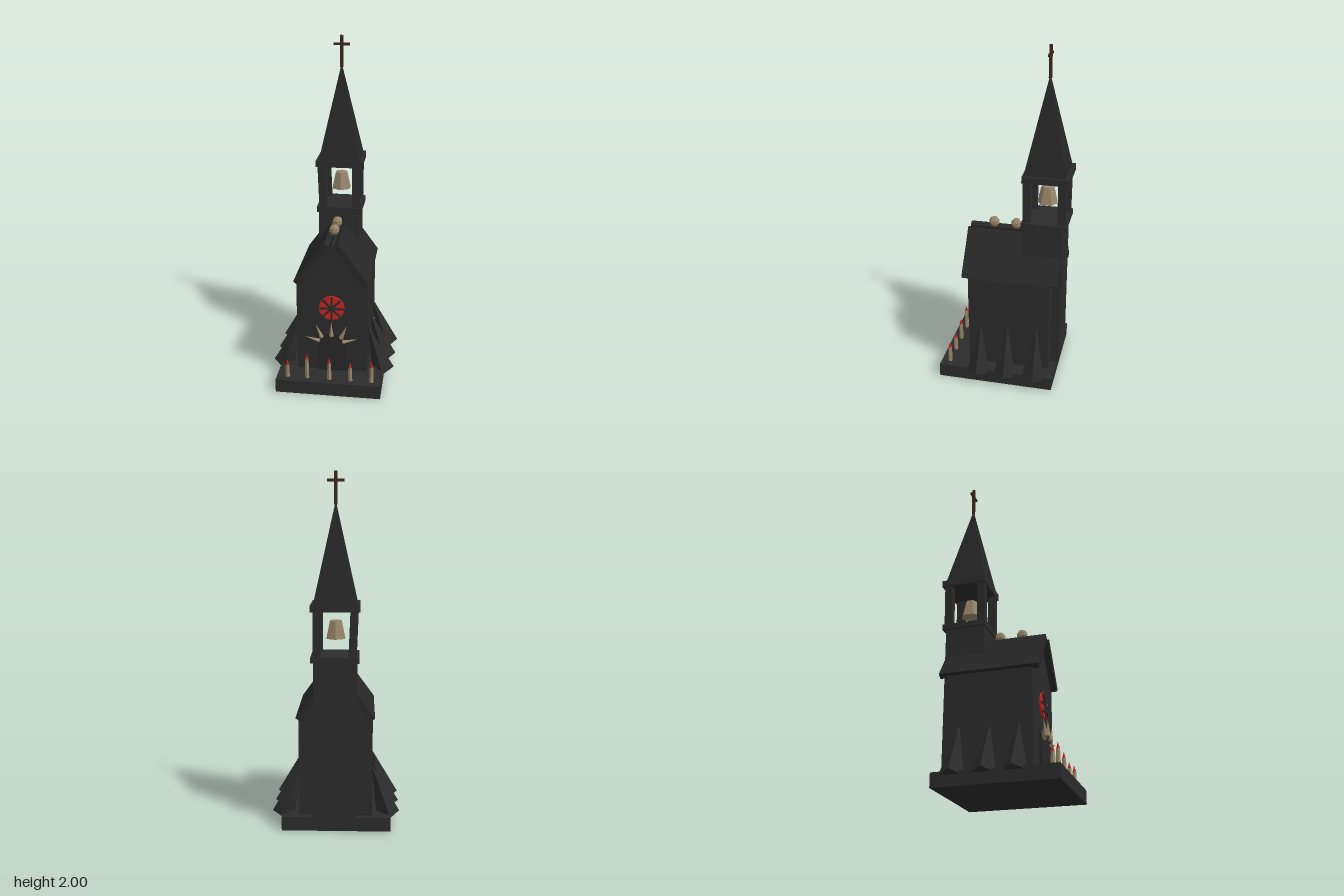
import * as THREE from 'three';

const flat = (name, color) => {
  const m = new THREE.MeshStandardMaterial({ color, flatShading: true });
  m.name = name;
  return m;
};

export function createModel() {
  const stone = flat('dark stone', 0x2b2b2b);
  const slate = flat('roof slate', 0x272727);
  const wood = flat('dark wood', 0x3d291b);
  const bone = flat('bone', 0x978569);
  const red = flat('red glass and flame', 0xcc2222);

  const model = new THREE.Group();
  model.name = 'chapel';
  const add = (name, geo, mat, x = 0, y = 0, z = 0, parent = model) => {
    const m = new THREE.Mesh(geo, mat);
    m.name = name;
    m.position.set(x, y, z);
    parent.add(m);
    return m;
  };
  // Box given by its limits
  const box = (name, mat, x0, x1, y0, y1, z0, z1) => add(name,
    new THREE.BoxGeometry(x1 - x0, y1 - y0, z1 - z0), mat,
    (x0 + x1) / 2, (y0 + y1) / 2, (z0 + z1) / 2);
  // Outline in x and y, extruded from z0 to z1
  const prism = (name, mat, pts, z0, z1) => add(name,
    new THREE.ExtrudeGeometry(new THREE.Shape(pts.map(p => new THREE.Vector2(...p))),
      { depth: z1 - z0, bevelEnabled: false }), mat, 0, 0, z0);

  // Plinth and nave with gable
  box('plinth', stone, -0.312, 0.304, 0, 0.08, -0.32, 0.367);
  prism('nave', stone,
    [[-0.208, 0.08], [0.208, 0.08], [0.208, 0.645], [0.19, 0.65], [0, 0.88], [-0.19, 0.65], [-0.208, 0.645]],
    -0.282, 0.204);

  // Roof slabs, leaving a narrow slot along the ridge
  for (const s of [-1, 1]) {
    const pts = [[0.04, 0.905], [0.012, 0.885], [0.192, 0.638], [0.22, 0.658]].map(([x, y]) => [s * x, y]);
    prism(s > 0 ? 'leftRoofSlab' : 'rightRoofSlab', slate, pts, -0.33, 0.24);
  }

  // Leaning pyramid buttresses
  const buttresses = [[0.128, 0.305], [-0.035, 0.305], [-0.208, 0.325]];
  for (const s of [-1, 1]) {
    buttresses.forEach(([z, h], i) => {
      const tilt = 0.32;
      const b = add('buttress', new THREE.ConeGeometry(0.067, h, 4), stone,
        s * (0.302 - Math.sin(tilt) * h / 2), 0.06 + Math.cos(tilt) * h / 2, z);
      b.rotation.z = s * tilt;
      b.rotateY((i - 1) * 0.06 + 0.08);
    });
  }

  // Bell tower
  const tz = -0.225;
  box('towerShaft', stone, -0.12, 0.12, 0.08, 0.975, tz - 0.11, tz + 0.122);
  box('belfryFloor', stone, -0.132, 0.135, 0.97, 1.003, tz - 0.13, tz + 0.13);
  for (const x of [-1, 1]) for (const z of [-1, 1]) {
    const post = add('belfryPost', new THREE.BoxGeometry(0.045, 0.26, 0.045), stone, x * 0.1, 1.13, tz + z * 0.1);
    post.rotation.z = x > 0 ? 0 : 0.04;
  }
  box('belfryCap', stone, -0.137, 0.135, 1.25, 1.288, tz - 0.138, tz + 0.128);
  const spire = add('spire', new THREE.ConeGeometry(0.122 * Math.SQRT2, 0.565, 4), slate, 0, 1.56, tz);
  spire.rotation.y = Math.PI / 4;
  add('bell', new THREE.CylinderGeometry(0.037, 0.06, 0.1, 6), bone, 0, 1.14, tz);

  // Cross on the spire
  box('crossUpright', wood, -0.009, 0.009, 1.82, 2, tz - 0.008, tz + 0.008);
  box('crossBar', wood, -0.047, 0.047, 1.943, 1.957, tz - 0.007, tz + 0.007);

  // Ridge knobs
  for (const z of [0.09, -0.043]) {
    add('ridgeKnob', new THREE.SphereGeometry(0.032, 6, 5), bone, 0, 0.934, z).rotation.y = Math.PI / 6;
  }

  // Rose window with four crossing bars
  const rose = new THREE.Group();
  rose.name = 'roseWindow';
  rose.position.set(0, 0.49, 0.204);
  model.add(rose);
  add('roseGlass', new THREE.CylinderGeometry(0.075, 0.075, 0.024, 16), red, 0, 0, 0, rose).rotation.x = Math.PI / 2;
  for (let i = 0; i < 4; i++) {
    add('roseBar', new THREE.BoxGeometry(0.148, 0.011, 0.02), stone, 0, 0, 0.01, rose).rotation.z = i * Math.PI / 4;
  }
  add('roseHub', new THREE.CylinderGeometry(0.016, 0.016, 0.022, 8), stone, 0, 0, 0.01, rose).rotation.x = Math.PI / 2;

  // Door with a fan of bone spikes over it
  box('door', slate, -0.085, 0.085, 0.08, 0.325, 0.2, 0.216);
  const spikes = [[-0.112, 0.294, 1.3], [-0.074, 0.347, 0.4], [0, 0.362, 0], [0.074, 0.347, -0.4], [0.112, 0.294, -1.3]];
  for (const [x, y, a] of spikes) {
    add('doorSpike', new THREE.ConeGeometry(0.014, 0.09, 4), bone, x, y, 0.231).rotation.z = a;
  }

  // Candles along the front of the plinth
  const candles = [[-0.248, 0.155], [-0.132, 0.203], [0, 0.185], [0.123, 0.163], [0.248, 0.175]];
  for (const [x, top] of candles) {
    add('candle', new THREE.CylinderGeometry(0.011, 0.014, top - 0.08, 5), bone, x, (top + 0.08) / 2, 0.315);
    add('flame', new THREE.ConeGeometry(0.01, 0.036, 5), red, x, top + 0.018, 0.315);
  }
  return model;
}
